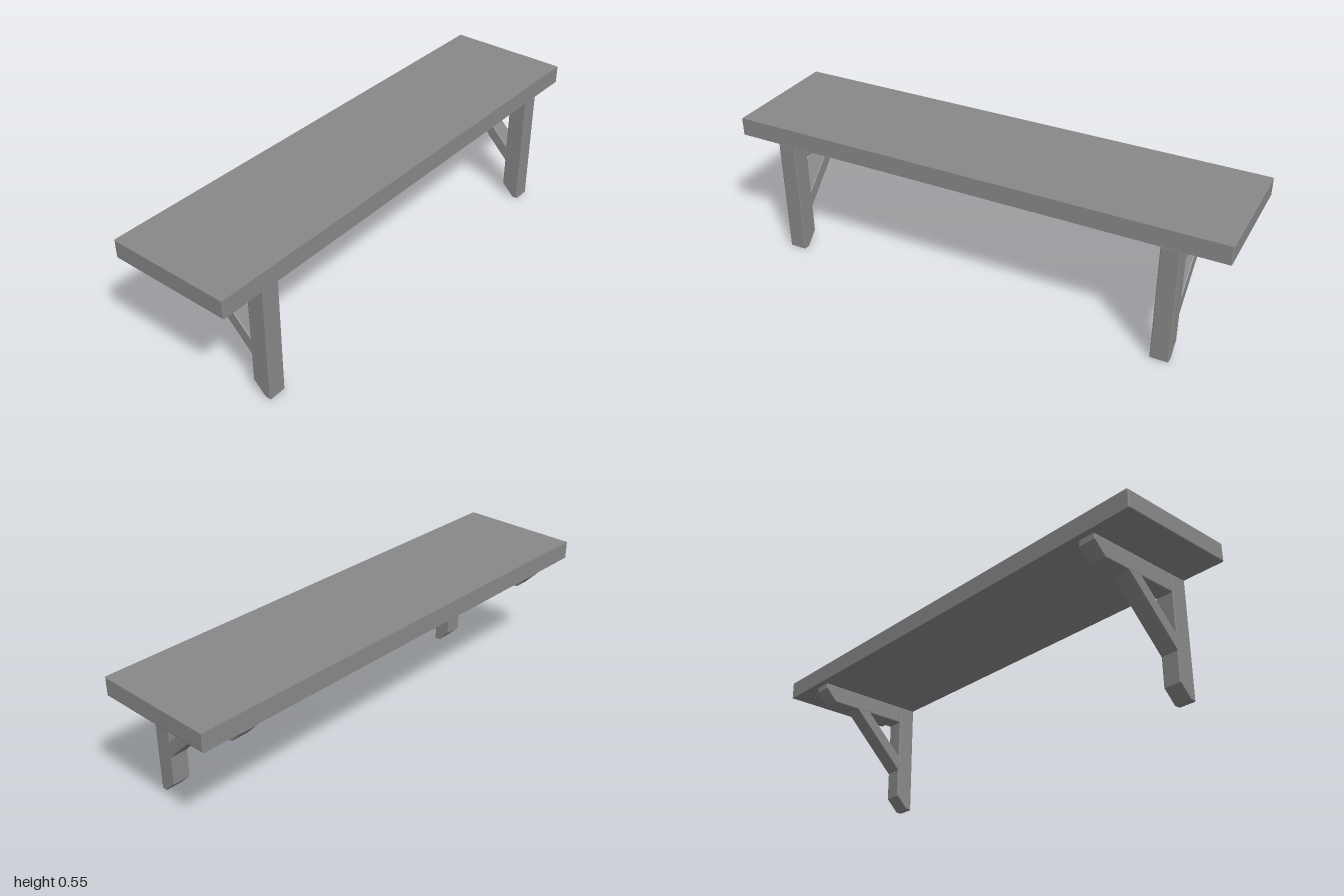
import * as THREE from 'three';

const material = new THREE.MeshStandardMaterial({ color: 0x888888, flatShading: true });
const BEVEL = 0.004;

// Beam with eased edges: a [z, y] side profile extruded along x, centred on x = 0
function beam(name, profile, width) {
  const shape = new THREE.Shape(profile.map(([z, y]) => new THREE.Vector2(-z, y)));
  const depth = width - 2 * BEVEL;
  const geometry = new THREE.ExtrudeGeometry(shape, {
    depth,
    bevelEnabled: true,
    bevelSegments: 2,
    bevelSize: BEVEL,
    bevelOffset: -BEVEL,
    bevelThickness: BEVEL,
  });
  geometry.translate(0, 0, -depth / 2);
  geometry.rotateY(Math.PI / 2);
  const mesh = new THREE.Mesh(geometry, material);
  mesh.name = name;
  return mesh;
}

// Post, arm and diagonal brace of one support
function createBracket(name) {
  const width = 0.073;
  const bracket = new THREE.Group();
  bracket.name = name;
  bracket.add(
    beam('post', [[0.25, 0], [0.25, 0.477], [0.175, 0.477], [0.175, 0.052], [0.227, 0]], width),
    beam('arm', [[0.174, 0.402], [0.174, 0.477], [-0.225, 0.477], [-0.225, 0.454], [-0.174, 0.402]], width),
    beam('brace', [[0.179, 0.167], [0.179, 0.235], [0.009, 0.405], [-0.059, 0.405]], width),
  );
  return bracket;
}

export function createModel() {
  const model = new THREE.Group();
  model.name = 'wallShelf';

  // Thick top plank
  model.add(beam('plank', [[0.25, 0.478], [0.25, 0.551], [-0.25, 0.551], [-0.25, 0.478]], 2));

  // Matching supports near both ends
  for (const [name, side] of [['leftBracket', 1], ['rightBracket', -1]]) {
    const bracket = createBracket(name);
    bracket.position.x = side * 0.79;
    model.add(bracket);
  }
  return model;
}
